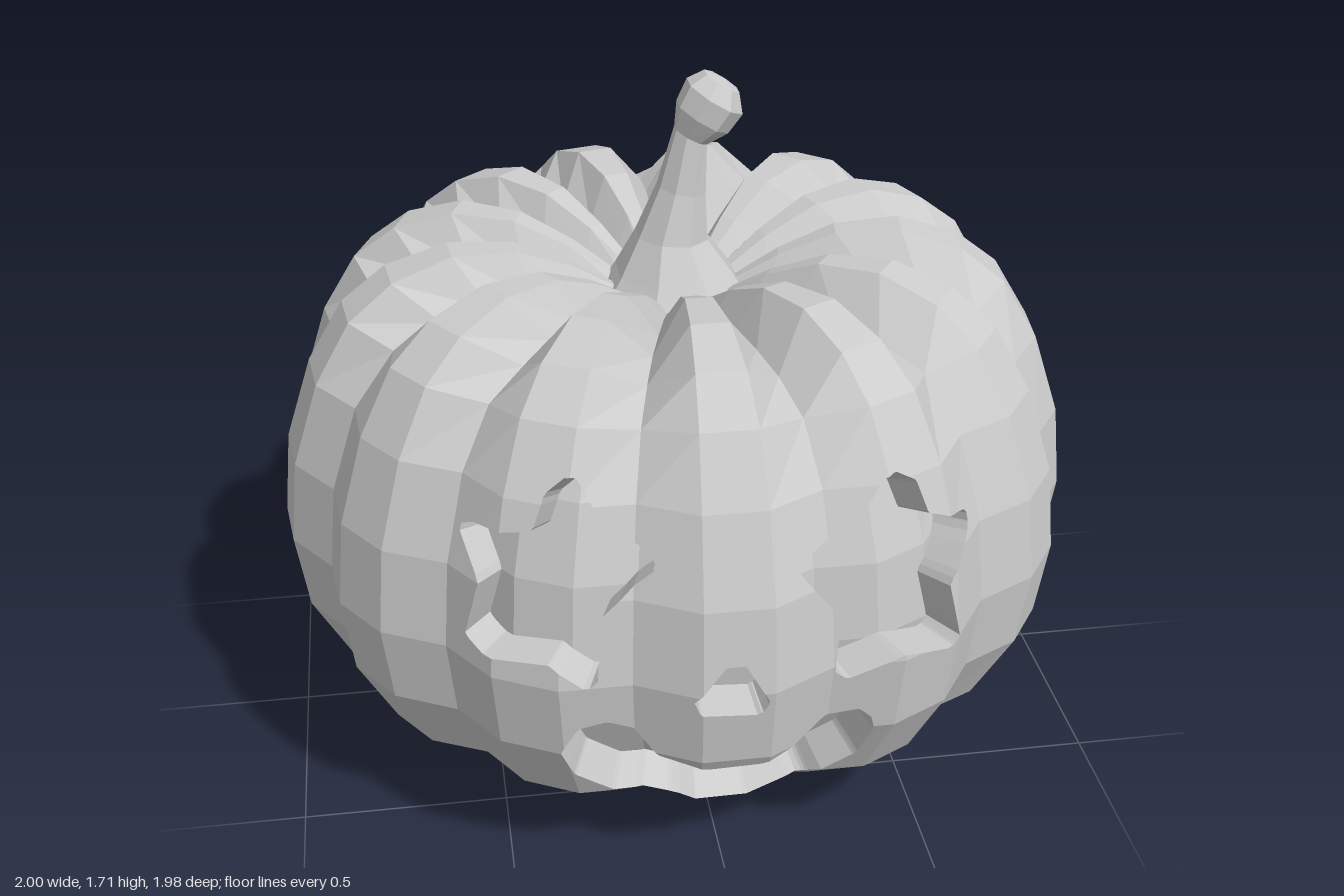
import * as THREE from 'three';

const LOBES = 13, SEGS = LOBES * 3, FINE = 12;

// Body rings from bottom to top: [ridge radius, ridge y, groove radius, groove y]
const RINGS = [
  [0, 0.04, 0, 0.04], [0.46, 0, 0.43, 0.02], [0.64, 0.065, 0.6, 0.075], [0.87, 0.24, 0.82, 0.24],
  [0.972, 0.43, 0.92, 0.43], [1, 0.625, 0.947, 0.625], [0.978, 0.835, 0.925, 0.835],
  [0.91, 1.04, 0.855, 1.035], [0.82, 1.19, 0.75, 1.16], [0.71, 1.275, 0.62, 1.2],
  [0.56, 1.322, 0.5, 1.212], [0.4, 1.31, 0.37, 1.2], [0.26, 1.25, 0.24, 1.18], [0.13, 1.17, 0.13, 1.15],
];

// Outlines of the carved face, as x, y pairs seen from the front
const CARVINGS = {
  rightEye: [-0.35, 1.1, -0.4, 1.06, -0.43, 0.98, -0.55, 0.955, -0.585, 0.93, -0.55, 0.84, -0.585, 0.69,
    -0.55, 0.67, -0.41, 0.685, -0.33, 0.62, -0.305, 0.64, -0.29, 0.8, -0.17, 0.91, -0.18, 0.94, -0.27, 0.985, -0.33, 1.095],
  leftEye: [0.37, 1.06, 0.42, 1.03, 0.45, 0.95, 0.565, 0.895, 0.57, 0.86, 0.505, 0.77, 0.54, 0.62,
    0.515, 0.6, 0.39, 0.64, 0.26, 0.585, 0.23, 0.61, 0.24, 0.745, 0.14, 0.885, 0.16, 0.91, 0.275, 0.955, 0.34, 1.05],
  nose: [-0.01, 0.715, 0.01, 0.705, 0.07, 0.6, 0.05, 0.565, -0.085, 0.575, -0.1, 0.61, -0.03, 0.7],
  mouth: [-0.35, 0.505, -0.285, 0.52, -0.225, 0.495, -0.17, 0.42, -0.06, 0.395, 0.06, 0.4, 0.125, 0.425,
    0.21, 0.48, 0.295, 0.49, 0.325, 0.46, 0.335, 0.42, 0.31, 0.31, 0.205, 0.21, 0.06, 0.165, -0.125, 0.18,
    -0.26, 0.24, -0.355, 0.335, -0.39, 0.435],
};

// Signed distance to an outline, negative inside
function outlineDistance(o, x, y) {
  let best = Infinity, inside = false;
  for (let i = 0, j = o.length - 2; i < o.length; j = i, i += 2) {
    const ex = o[j] - o[i], ey = o[j + 1] - o[i + 1], px = x - o[i], py = y - o[i + 1];
    const t = THREE.MathUtils.clamp((px * ex + py * ey) / (ex * ex + ey * ey), 0, 1);
    best = Math.min(best, Math.hypot(px - ex * t, py - ey * t));
    if ((o[i + 1] > y) !== (o[j + 1] > y) && px < (ex * py) / ey) inside = !inside;
  }
  return inside ? -best : best;
}

const carveDistance = (p) =>
  Math.min(...Object.values(CARVINGS).map((o) => outlineDistance(o, p.x, p.y)));

// Part of a triangle on one side of the carving line; cut[] marks new corners
function clip(tri, f, sign) {
  const pts = [], cut = [];
  tri.forEach((a, i) => {
    const j = (i + 1) % 3, fa = f[i] * sign, fb = f[j] * sign;
    if (fa >= 0) { pts.push(a); cut.push(false); }
    if ((fa >= 0) !== (fb >= 0)) {
      pts.push(a.clone().lerp(tri[j], fa / (fa - fb)));
      cut.push(true);
    }
  });
  return { pts, cut };
}

function fan(out, pts) {
  for (let i = 1; i + 1 < pts.length; i++) out.push(pts[0], pts[i], pts[i + 1]);
}

function flatMesh(points, name) {
  const geometry = new THREE.BufferGeometry().setFromPoints(points);
  geometry.computeVertexNormals();
  const material = new THREE.MeshStandardMaterial({ color: 0xcccccc, flatShading: true });
  const mesh = new THREE.Mesh(geometry, material);
  mesh.name = name;
  return mesh;
}

// Quads between successive closed rings of points
function eachQuad(rings, visit) {
  for (let i = 0; i + 1 < rings.length; i++) {
    const n = rings[i].length;
    for (let j = 0; j < n; j++) {
      const k = (j + 1) % n;
      visit(rings[i][j], rings[i][k], rings[i + 1][k], rings[i + 1][j]);
    }
  }
}

// Recessed surface: points pulled toward the middle of the body
const CENTRE = new THREE.Vector3(0, 0.65, 0);
const sink = (p) => p.clone().lerp(CENTRE, 0.105);

function carveTriangle(tri, skin, recess) {
  const [a, b, c] = tri;
  const at = (i, j) => a.clone().addScaledVector(b.clone().sub(a), i / FINE).addScaledVector(c.clone().sub(a), j / FINE);
  const small = (t) => {
    const f = t.map(carveDistance);
    fan(skin, clip(t, f, 1).pts);
    if (Math.min(...f) >= 0) return;
    const { pts, cut } = clip(t, f, -1);
    fan(recess, pts.map(sink));
    pts.forEach((p, i) => {
      const k = (i + 1) % pts.length;
      if (cut[i] && cut[k]) fan(recess, [p, pts[k], sink(pts[k]), sink(p)]);
    });
  };
  for (let i = 0; i < FINE; i++) {
    for (let j = 0; i + j < FINE; j++) {
      small([at(i, j), at(i + 1, j), at(i, j + 1)]);
      if (i + j < FINE - 1) small([at(i + 1, j), at(i + 1, j + 1), at(i, j + 1)]);
    }
  }
}

function createBody(group) {
  const rings = RINGS.map(([r, y, gr, gy]) => Array.from({ length: SEGS }, (_, j) => {
    const angle = ((j + 0.5) / SEGS) * Math.PI * 2, groove = j % 3 === 1;
    const radius = groove ? gr : r;
    return new THREE.Vector3(radius * Math.sin(angle), groove ? gy : y, radius * Math.cos(angle));
  }));
  const skin = [], recess = [];
  eachQuad(rings, (a, b, c, d) => {
    const quad = [a, b, c, d];
    const carved = quad.every((p) => p.z > 0.5 && p.y > 0.05 && p.y < 1.2 && Math.abs(p.x) < 0.85);
    if (!carved) return fan(skin, quad);
    carveTriangle([a, b, c], skin, recess);
    carveTriangle([a, c, d], skin, recess);
  });
  group.add(flatMesh(skin, 'body'), flatMesh(recess, 'carvedFace'));
}

function createStem(group) {
  // Stem sections: [centre x, centre y, radius, tilt]
  const sections = [
    [0, 1.15, 0.19, 0], [0, 1.21, 0.15, 0], [-0.005, 1.3, 0.092, 0.08], [0.02, 1.42, 0.062, 0.2],
    [0.042, 1.555, 0.046, 0.5], [0.07, 1.6, 0.074, 0.55], [0.1, 1.65, 0.08, 0.55],
    [0.117, 1.687, 0.05, 0.55], [0.12, 1.695, 0, 0.55],
  ];
  const rings = sections.map(([x, y, r, tilt]) => Array.from({ length: 8 }, (_, j) => {
    const angle = ((j + 0.5) / 8) * Math.PI * 2, s = r * Math.sin(angle);
    return new THREE.Vector3(x + s * Math.cos(tilt), y - s * Math.sin(tilt), r * Math.cos(angle));
  }));
  const points = [];
  eachQuad(rings, (...quad) => fan(points, quad));
  group.add(flatMesh(points, 'stem'));
}

export function createModel() {
  const group = new THREE.Group();
  group.name = 'carvedPumpkin';
  createBody(group);
  createStem(group);
  return group;
}
